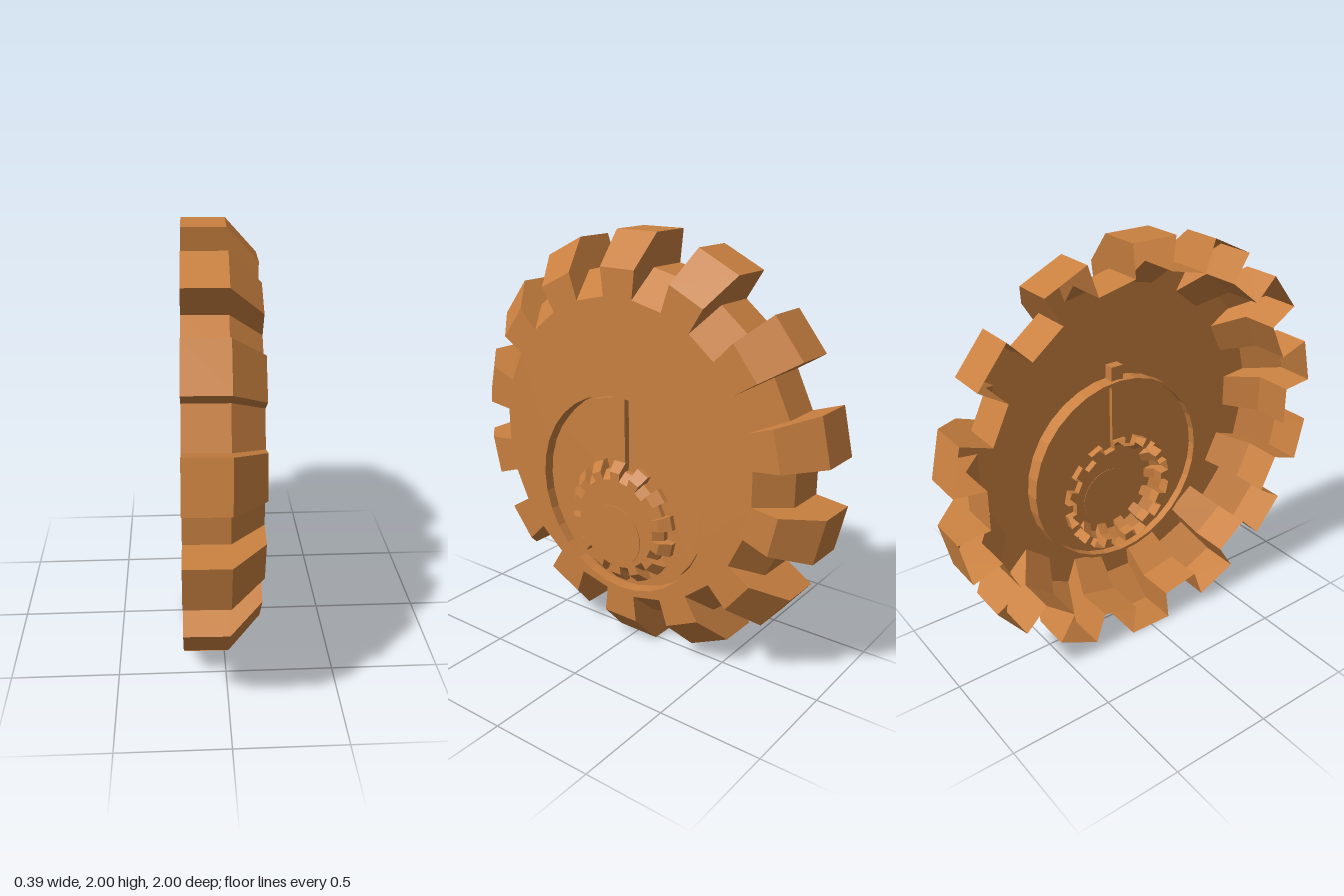
import * as THREE from 'three';

const TEETH = 14;
const mat = new THREE.MeshStandardMaterial({ color: 0xc98040, flatShading: true, side: THREE.DoubleSide });

// Toothed outline: alternating tooth (outer) and gap (inner) radii
function toothed(outer, inner) {
  const h = Math.PI / TEETH / 2, pts = [];
  for (let i = 0; i < TEETH; i++) {
    const a = Math.PI / 2 + i * 4 * h;
    for (const [r, t] of [[outer, a - h], [outer, a + h], [inner, a + h], [inner, a + 3 * h]])
      pts.push(new THREE.Vector2(r * Math.cos(t), r * Math.sin(t)));
  }
  return pts;
}

// Thin skin lofted through outlines at given depths
function loft(levels) {
  const pos = [], idx = [], n = levels[0].pts.length;
  for (const { pts, z } of levels) for (const p of pts) pos.push(p.x, p.y, z);
  for (let l = 0; l < levels.length - 1; l++)
    for (let i = 0; i < n; i++) {
      const j = (i + 1) % n, a = l * n + i, b = l * n + j;
      idx.push(a, b, b + n, a, b + n, a + n);
    }
  const g = new THREE.BufferGeometry();
  g.setAttribute('position', new THREE.Float32BufferAttribute(pos, 3));
  g.setIndex(idx);
  g.computeVertexNormals();
  return g;
}

function circle(r, y, n = 32) {
  return Array.from({ length: n }, (_, i) => {
    const a = (i / n) * Math.PI * 2;
    return new THREE.Vector2(r * Math.cos(a), y + r * Math.sin(a));
  });
}

function part(name, geometry, parent) {
  const m = new THREE.Mesh(geometry, mat);
  m.name = name;
  parent.add(m);
  return m;
}

function plate(outline, hole, z) {
  const s = new THREE.Shape(outline);
  if (hole) s.holes.push(new THREE.Path(hole));
  return new THREE.ShapeGeometry(s).translate(0, 0, z);
}

// Hollow gear: straight rim, bevel, and flat face
function gear(name, hole) {
  const g = new THREE.Group();
  g.name = name;
  const front = toothed(0.855, 0.725);
  part(name + 'Rim', loft([
    { pts: toothed(1.006, 0.852), z: -0.18 },
    { pts: toothed(1.006, 0.852), z: 0.015 },
    { pts: front, z: 0.155 },
  ]), g);
  part(name + 'Face', plate(front, hole, 0.155), g);
  return g;
}

export function createModel() {
  const model = new THREE.Group();
  model.name = 'gearCover';
  const wheel = new THREE.Group();
  wheel.name = 'wheel';
  // axis along x, with a slight lean
  wheel.rotation.y = Math.PI / 2 - 0.0175;
  const lean = new THREE.Group();
  lean.name = 'lean';
  lean.position.y = 1;
  lean.rotation.z = -0.005;
  lean.add(wheel);
  model.add(lean);

  // large gear with an off-centre round opening
  const cy = -0.21, gy = -0.345, s = 0.305;
  wheel.add(gear('largeGear', circle(0.482, cy)));

  // recessed pan: outer wall, narrow channel, inner wall, floor
  part('panWall', loft([
    { pts: circle(0.482, cy), z: 0.155 },
    { pts: circle(0.482, cy), z: 0.08 },
    { pts: circle(0.466, cy), z: 0.08 },
    { pts: circle(0.466, cy), z: 0.12 },
  ]), wheel);
  const opening = toothed(1.006 * s, 0.852 * s).map(p => new THREE.Vector2(p.x, p.y + gy));
  part('panFloor', plate(circle(0.466, cy), opening, 0.12), wheel);

  // small gear, a scaled copy standing proud of the face
  const small = gear('smallGear');
  small.scale.setScalar(s);
  small.position.set(0, gy, 0.14);
  wheel.add(small);

  // low hub disc
  const hub = part('hubDisc', new THREE.CylinderGeometry(0.15, 0.15, 0.006, 32), wheel);
  hub.rotation.x = Math.PI / 2;
  hub.position.set(0, -0.405, 0.188);

  // bar bridging the small gear and the large gear
  part('bar', new THREE.BoxGeometry(0.066, 0.38, 0.05), wheel).position.set(0, 0.15, 0.125);
  return model;
}
